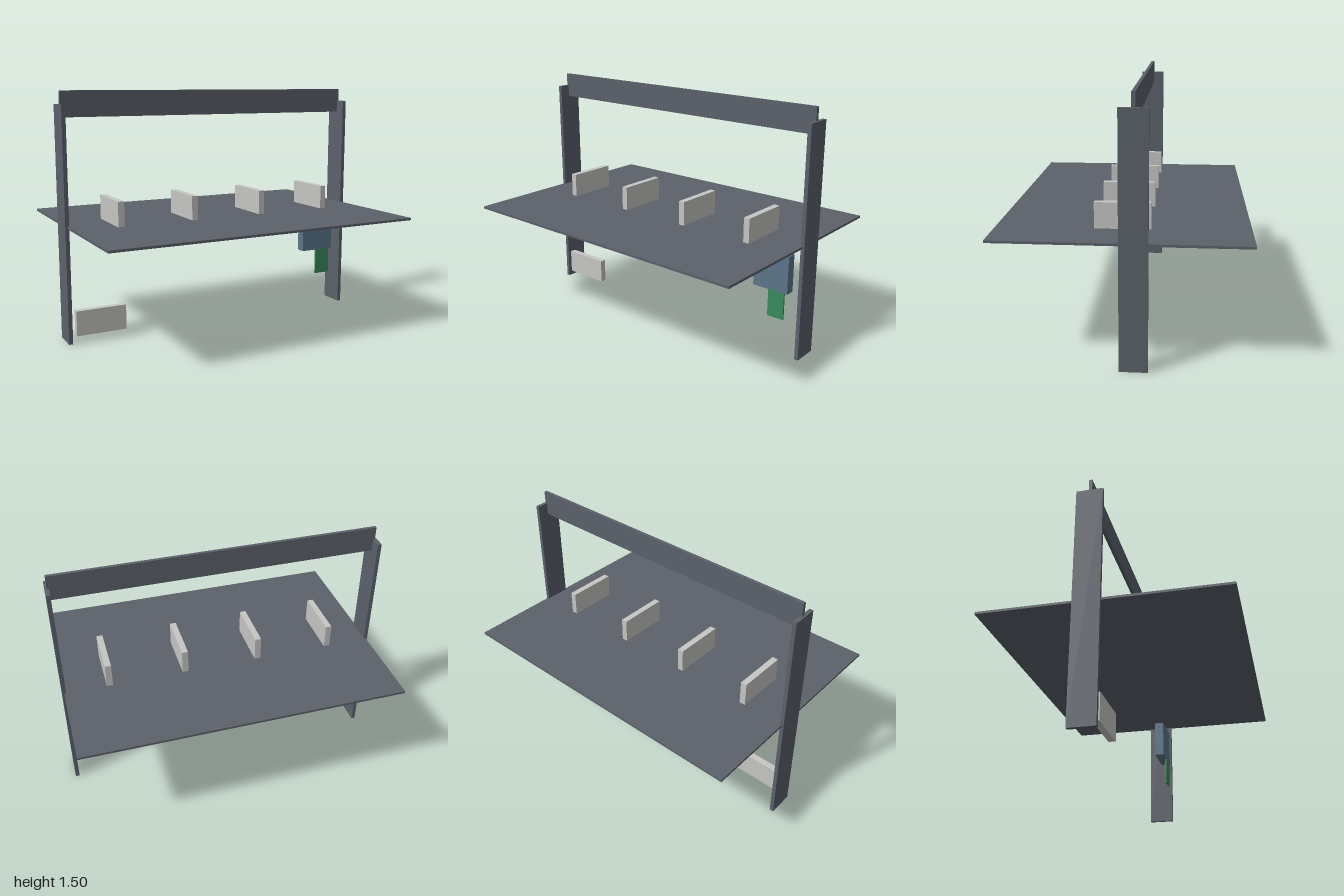
import * as THREE from 'three';

const material = (name, color) => {
  const m = new THREE.MeshStandardMaterial({ color });
  m.name = name;
  return m;
};

export function createModel() {
  const group = new THREE.Group();
  const steel = material('slate steel', 0x5c616b);
  const pale = material('pale grey', 0xc6c6c4);
  const blue = material('dusty blue', 0x5c768b);
  const green = material('green', 0x378b5c);

  // Box given by its extents along each axis
  const block = (name, mat, [x0, x1], [y0, y1], [z0, z1]) => {
    const mesh = new THREE.Mesh(new THREE.BoxGeometry(x1 - x0, y1 - y0, z1 - z0), mat);
    mesh.position.set((x0 + x1) / 2, (y0 + y1) / 2, (z0 + z1) / 2);
    mesh.name = name;
    group.add(mesh);
  };

  // Frame: two upright planks and a crossbeam
  block('rightPost', steel, [-1, -0.976], [0, 1.425], [-0.157, 0]);
  block('leftPost', steel, [0.976, 1], [0, 1.425], [-0.157, 0]);
  block('crossbeam', steel, [-0.988, 0.988], [1.35, 1.505], [-0.088, -0.068]);

  // Tabletop with four upright dividers
  block('tabletop', steel, [-0.988, 0.988], [0.706, 0.72], [-0.71, 0.71]);
  for (const x of [-0.711, -0.236, 0.236, 0.711]) {
    block('divider', pale, [x - 0.019, x + 0.019], [0.72, 0.87], [-0.158, 0.158]);
  }

  // Units below the table
  block('powerBox', pale, [-0.95, -0.635], [0.045, 0.2], [-0.04, 0]);
  block('controlBox', blue, [0.668, 0.905], [0.398, 0.635], [-0.06, 0]);
  block('circuitBoard', green, [0.775, 0.884], [0.228, 0.398], [-0.01, 0]);

  return group;
}
